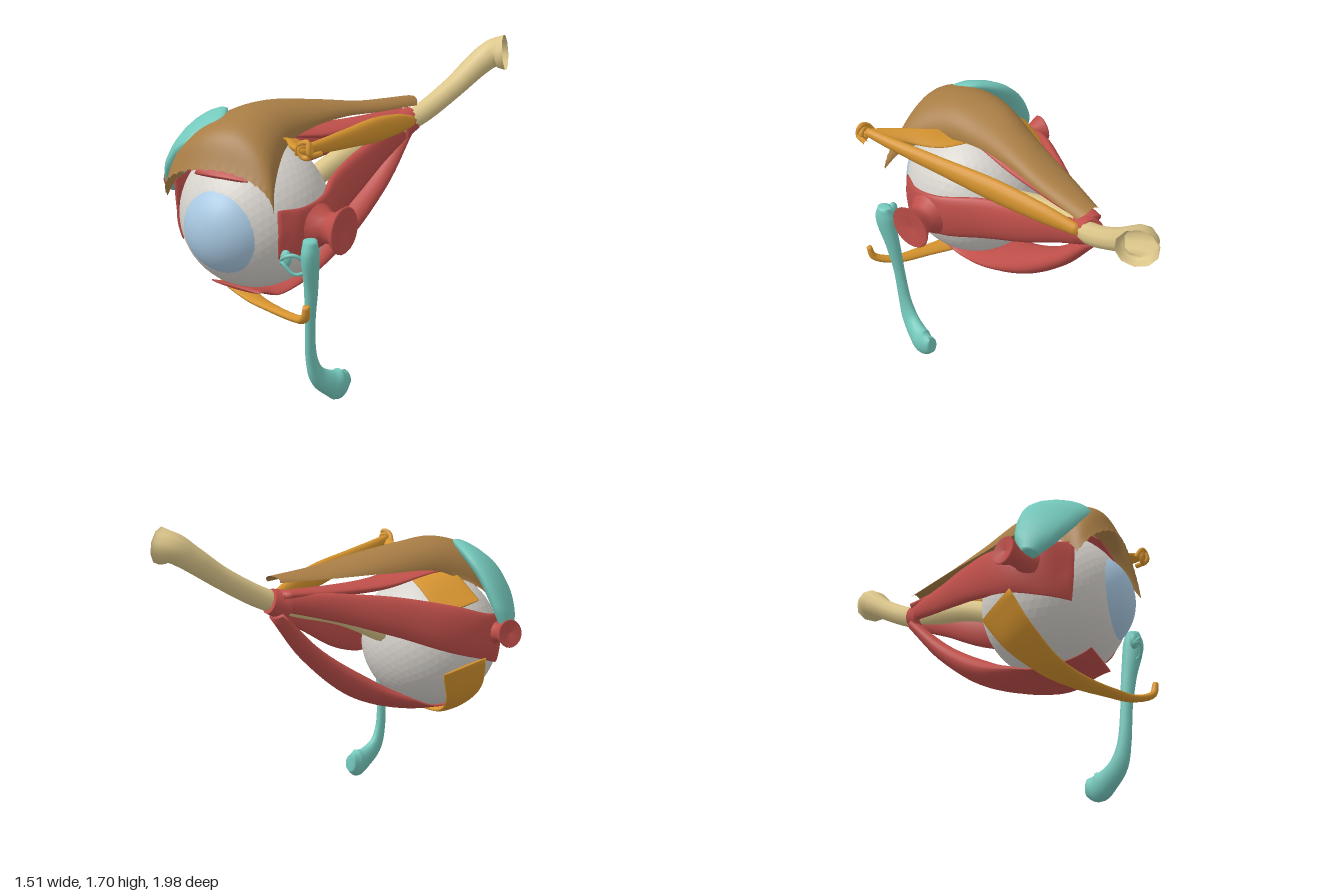
import * as THREE from 'three';

const V = (x, y, z) => new THREE.Vector3(x, y, z);
const EYE = V(-0.15, 0.95, 0.55);
const R = 0.4;

function makeMaterials() {
  const mat = (name, color, extra = {}) => new THREE.MeshStandardMaterial({ name, color, ...extra });
  return {
    white: mat('eye white', 0xd6d2cc, { flatShading: true }),
    blue: mat('pale blue', 0xa9c9e2),
    red: mat('muscle red', 0xbf4f4a),
    brown: mat('lid brown', 0xa87d45, { side: THREE.DoubleSide }),
    orange: mat('oblique orange', 0xd6942f),
    teal: mat('tear teal', 0x74c8bc),
    tan: mat('nerve tan', 0xdcc68a, { side: THREE.DoubleSide }),
  };
}

// Keep a point outside the eyeball by a small clearance
function drape(p, clear) {
  const d = p.clone().sub(EYE);
  if (d.length() < R + clear) p.copy(EYE).add(d.setLength(R + clear));
  return p;
}

// Elliptical band through rows of [x, y, z, halfWidth, halfThickness].
// hint is the thickness direction; without it, thickness points away from the eyeball.
function band(rows, { hint = null, sides = 16, steps = 36, onEye = false, caps = true } = {}) {
  const path = new THREE.CatmullRomCurve3(rows.map(r => V(r[0], r[1], r[2])));
  const size = new THREE.CatmullRomCurve3(rows.map(r => V(r[3], r[4], 0)), false, 'catmullrom', 0.4);
  const pos = [], idx = [];
  for (let i = 0; i <= steps; i++) {
    const u = i / steps, p = path.getPoint(u), t = path.getTangent(u), s = size.getPoint(u);
    const o = hint ? hint.clone() : p.clone().sub(EYE);
    o.addScaledVector(t, -o.dot(t)).normalize();
    const w = o.clone().cross(t);
    for (let j = 0; j < sides; j++) {
      const a = j / sides * Math.PI * 2;
      const q = p.clone().addScaledVector(w, s.x * Math.cos(a)).addScaledVector(o, s.y * Math.sin(a));
      if (onEye) drape(q, Math.sin(a) > -0.01 ? 0.014 : 0.004);
      pos.push(q.x, q.y, q.z);
      if (i < steps) {
        const k = i * sides, n = (j + 1) % sides;
        idx.push(k + j, k + n, k + sides + j, k + n, k + sides + n, k + sides + j);
      }
    }
  }
  if (caps) {
    const last = steps * sides;
    for (let j = 1; j < sides - 1; j++) {
      idx.push(0, j + 1, j, last, last + j, last + j + 1);
    }
  }
  const g = new THREE.BufferGeometry();
  g.setAttribute('position', new THREE.Float32BufferAttribute(pos, 3));
  g.setIndex(idx);
  g.computeVertexNormals();
  return g;
}

// Lid sheet: each row holds left edge, crown and right edge, joined by quarter ellipses
function sheet(rows, steps = 40, across = 48) {
  const curves = [0, 1, 2].map(k => new THREE.CatmullRomCurve3(rows.map(r => V(...r[k]))));
  const pos = [], idx = [];
  for (let i = 0; i <= steps; i++) {
    const [L, C, E] = curves.map(c => c.getPoint(i / steps));
    for (let j = 0; j <= across; j++) {
      const s = j / across * 2 - 1, a = Math.abs(s) * Math.PI / 2, end = s < 0 ? L : E;
      const side = Math.sin(a), drop = 1 - Math.cos(a);
      const p = V(C.x + (end.x - C.x) * side, C.y + (end.y - C.y) * drop, C.z + (end.z - C.z) * drop);
      if (i === steps) p.y += 0.006 * Math.sin(j * 2.3); // ragged hem
      drape(p, 0.03);
      pos.push(p.x, p.y, p.z);
      if (i < steps && j < across) {
        const k = i * (across + 1) + j, n = k + across + 1;
        idx.push(k, n, k + 1, k + 1, n, n + 1);
      }
    }
  }
  const g = new THREE.BufferGeometry();
  g.setAttribute('position', new THREE.Float32BufferAttribute(pos, 3));
  g.setIndex(idx);
  g.computeVertexNormals();
  return g;
}

export function createModel() {
  const model = new THREE.Group();
  model.name = 'eyeAnatomy';
  const m = makeMaterials();
  const add = (name, geometry, material) => {
    const mesh = new THREE.Mesh(geometry, material);
    mesh.name = name;
    model.add(mesh);
    return mesh;
  };
  const aim = (mesh, from, dir) => {
    mesh.position.copy(from);
    mesh.quaternion.setFromUnitVectors(V(0, 1, 0), dir.clone().normalize());
  };

  // Eyeball and cornea
  add('eyeball', new THREE.IcosahedronGeometry(R, 9), m.white).position.copy(EYE);
  const cornea = new THREE.SphereGeometry(0.283, 40, 12, 0, Math.PI * 2, 0, 0.9).rotateX(Math.PI / 2);
  add('cornea', cornea, m.blue).position.set(-0.17, 0.94, 0.707);

  // Optic nerve with a flared open end
  add('opticNerve', band([
    [-0.02, 1.02, 0.22, 0.06, 0.06], [0.12, 1.15, -0.03, 0.06, 0.06], [0.26, 1.23, -0.3, 0.06, 0.06],
    [0.37, 1.29, -0.46, 0.06, 0.06], [0.5, 1.42, -0.66, 0.065, 0.06], [0.595, 1.535, -0.8, 0.075, 0.07],
    [0.665, 1.595, -0.866, 0.088, 0.083], [0.735, 1.605, -0.878, 0.115, 0.1],
  ], { hint: V(0, 1, 0.3), sides: 10, caps: false }), m.tan);

  // Tendon ring where the straight muscles start
  const ring = add('tendonRing', new THREE.CylinderGeometry(0.07, 0.085, 0.1, 16), m.red);
  aim(ring, V(0.315, 1.26, -0.405), V(0.12, 0.08, -0.2));

  // Four straight muscles
  const straight = {
    lateralMuscle: [V(-1, 0, -0.6), [
      [0.27, 1.27, -0.42, 0.05, 0.03], [0.05, 1.22, -0.18, 0.08, 0.035], [-0.2, 1.15, 0.05, 0.11, 0.045],
      [-0.42, 1.07, 0.25, 0.13, 0.045], [-0.54, 1.01, 0.43, 0.13, 0.035], [-0.555, 0.98, 0.6, 0.15, 0.02],
      [-0.5, 0.97, 0.74, 0.17, 0.015]]],
    medialMuscle: [V(1, 0, 0), [
      [0.33, 1.25, -0.42, 0.07, 0.03], [0.27, 1.17, -0.2, 0.09, 0.04], [0.21, 1.07, 0.05, 0.12, 0.05],
      [0.205, 1.01, 0.3, 0.13, 0.045], [0.25, 0.97, 0.55, 0.13, 0.035], [0.21, 0.95, 0.73, 0.13, 0.02],
      [0.13, 0.95, 0.835, 0.13, 0.012]]],
    lowerMuscle: [V(0, -1, -0.5), [
      [0.3, 1.2, -0.44, 0.05, 0.03], [0.22, 0.95, -0.21, 0.075, 0.05], [0.09, 0.73, 0.07, 0.115, 0.065],
      [-0.04, 0.595, 0.34, 0.15, 0.04], [-0.13, 0.545, 0.58, 0.15, 0.02], [-0.15, 0.61, 0.79, 0.15, 0.012]]],
    upperMuscle: [V(0, 1, 0), [
      [0.28, 1.31, -0.42, 0.05, 0.025], [0.15, 1.3, -0.15, 0.08, 0.03], [0, 1.31, 0.15, 0.12, 0.03],
      [-0.12, 1.36, 0.45, 0.15, 0.015], [-0.17, 1.33, 0.7, 0.16, 0.012], [-0.18, 1.22, 0.86, 0.16, 0.012]]],
  };
  for (const [name, [hint, rows]] of Object.entries(straight)) {
    add(name, band(rows, { hint, sides: 24, onEye: true }), m.red);
  }

  // Flared stubs on the two side muscles
  const stub = (name, from, to, r) => {
    const h = from.distanceTo(to);
    const profile = [[r, 0], [r * 0.65, h * 0.35], [r * 0.65, h * 0.6], [r, h * 0.95], [r * 0.93, h], [0, h * 0.9]];
    const g = new THREE.LatheGeometry(profile.map(p => new THREE.Vector2(...p)), 20);
    aim(add(name, g, m.red), from, to.clone().sub(from));
  };
  stub('lateralStub', V(-0.55, 1.02, 0.52), V(-0.71, 1.04, 0.42), 0.08);
  stub('medialStub', V(0.25, 0.955, 0.62), V(0.415, 0.955, 0.645), 0.128);

  // Lid-lifting muscle spreading over the top
  add('lidLifter', sheet([
    [[0.27, 1.38, -0.45], [0.34, 1.41, -0.43], [0.39, 1.37, -0.38]],
    [[0.08, 1.38, -0.18], [0.2, 1.44, -0.1], [0.28, 1.39, -0.08]],
    [[-0.1, 1.38, 0.1], [0.05, 1.49, 0.15], [0.19, 1.41, 0.15]],
    [[-0.3, 1.36, 0.4], [-0.1, 1.53, 0.4], [0.11, 1.4, 0.4]],
    [[-0.47, 1.18, 0.64], [-0.13, 1.53, 0.65], [0.08, 1.36, 0.62]],
    [[-0.53, 1.11, 0.74], [-0.15, 1.455, 0.85], [0.13, 1.22, 0.865]],
    [[-0.55, 1.05, 0.775], [-0.15, 1.285, 0.945], [0.17, 1.1, 0.96]],
  ]), m.brown);

  // Upper oblique muscle, its pulley and its tendon
  add('upperOblique', band([
    [0.36, 1.275, -0.38, 0.033, 0.027], [0.358, 1.312, -0.15, 0.058, 0.04], [0.348, 1.348, 0.13, 0.068, 0.045],
    [0.34, 1.392, 0.5, 0.05, 0.037], [0.335, 1.427, 0.78, 0.035, 0.03], [0.33, 1.45, 0.94, 0.025, 0.022],
  ], { hint: V(1, 0, 0) }), m.orange);
  add('upperObliqueTendon', band([
    [0.34, 1.45, 0.96, 0.02, 0.015], [0.22, 1.41, 0.8, 0.042, 0.02], [0.1, 1.38, 0.6, 0.065, 0.012],
    [-0.08, 1.36, 0.5, 0.09, 0.01], [-0.25, 1.33, 0.39, 0.13, 0.01], [-0.44, 1.18, 0.32, 0.14, 0.008],
  ], { onEye: true, sides: 20 }), m.orange);
  const hook = new THREE.CatmullRomCurve3([
    V(0.28, 1.42, 0.92), V(0.31, 1.48, 0.95), V(0.36, 1.495, 0.96), V(0.37, 1.44, 0.97), V(0.4, 1.43, 0.9)]);
  add('pulleyHook', new THREE.TubeGeometry(hook, 24, 0.014, 8), m.orange);
  const pulley = add('pulley', new THREE.TorusGeometry(0.032, 0.014, 8, 18), m.orange);
  pulley.position.set(0.34, 1.445, 0.95);

  // Lower oblique muscle wrapping under the eyeball
  add('lowerOblique', band([
    [0.355, 0.655, 0.98, 0.018, 0.016], [0.34, 0.585, 0.965, 0.025, 0.02], [0.25, 0.535, 0.88, 0.03, 0.02],
    [0.08, 0.515, 0.78, 0.04, 0.02], [-0.12, 0.51, 0.66, 0.06, 0.02], [-0.3, 0.55, 0.54, 0.085, 0.018],
    [-0.43, 0.67, 0.42, 0.12, 0.015], [-0.48, 0.85, 0.31, 0.14, 0.01],
  ], { onEye: true, sides: 20 }), m.orange);

  // Tear gland, tear duct and its fine canals
  add('tearGland', band([
    [-0.645, 1.03, 0.54, 0.05, 0.035], [-0.605, 1.14, 0.57, 0.12, 0.05], [-0.54, 1.26, 0.61, 0.16, 0.055],
    [-0.445, 1.37, 0.65, 0.175, 0.055], [-0.34, 1.435, 0.7, 0.15, 0.045], [-0.255, 1.455, 0.76, 0.07, 0.025],
  ], { hint: V(-0.5, 0.6, 0.18) }), m.teal);
  add('tearDuct', band([
    [0.325, 0.965, 0.87, 0.04, 0.035], [0.325, 0.88, 0.87, 0.06, 0.045], [0.315, 0.7, 0.84, 0.045, 0.035],
    [0.3, 0.5, 0.82, 0.035, 0.026], [0.295, 0.3, 0.8, 0.04, 0.027], [0.31, 0.18, 0.76, 0.055, 0.035],
    [0.345, 0.115, 0.69, 0.068, 0.045], [0.372, 0.09, 0.63, 0.086, 0.05], [0.385, 0.1, 0.565, 0.05, 0.035],
  ], { hint: V(1, 0, 0) }), m.teal);
  for (const [y, bend] of [[0.8, -0.01], [0.84, 0.05]]) {
    const canal = new THREE.CatmullRomCurve3([
      V(0.32, y, 0.88), V(0.26, y + bend, 0.92), V(0.2, 0.85 + bend * 0.4, 0.93), V(0.18, 0.83, 0.9)]);
    add('tearCanal', new THREE.TubeGeometry(canal, 16, 0.01, 6), m.teal);
  }
  const sac = add('tearSac', new THREE.SphereGeometry(0.035, 12, 8), m.teal);
  sac.position.set(0.205, 0.86, 0.9);
  sac.scale.set(0.9, 1.3, 0.7);

  return model;
}
